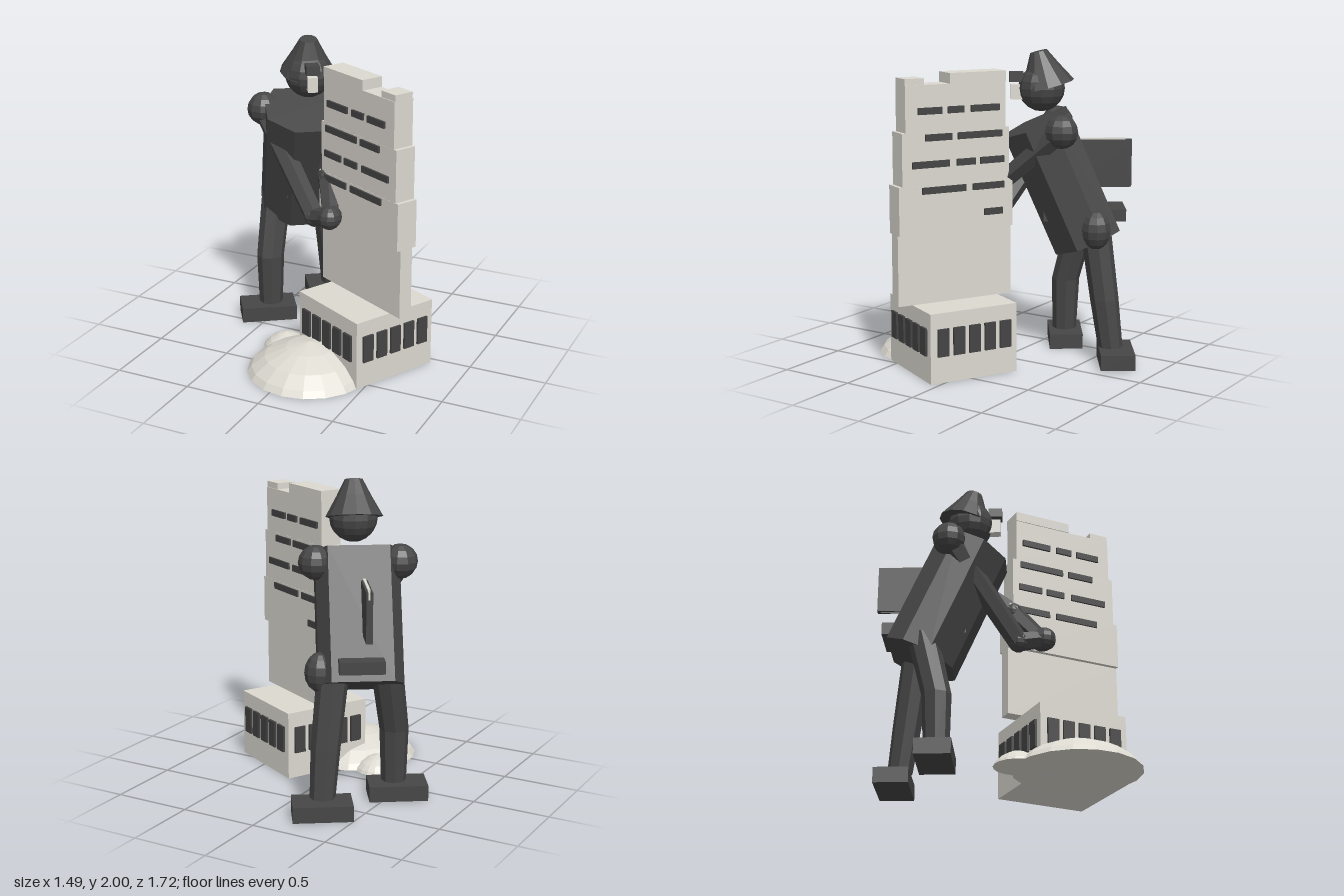
import * as THREE from 'three';

const mat = (name, color) => {
  const m = new THREE.MeshStandardMaterial({ color, flatShading: true });
  m.name = name;
  return m;
};

export function createModel() {
  const stone = mat('stone', 0xdcd9d1);
  const sand = mat('sand', 0xdcd9d0);
  const charcoal = mat('charcoal', 0x464646);
  const glass = mat('windowDark', 0x444444);
  const paper = mat('paper', 0xdedbd3);

  const model = new THREE.Group();
  const add = (parent, name, geometry, material, x = 0, y = 0, z = 0) => {
    const mesh = new THREE.Mesh(geometry, material);
    mesh.name = name;
    mesh.position.set(x, y, z);
    parent.add(mesh);
    return mesh;
  };
  const box = (parent, name, material, w, h, d, x, y, z) =>
    add(parent, name, new THREE.BoxGeometry(w, h, d), material, x, y, z);
  const points = (list) => list.map(([x, y]) => new THREE.Vector2(x, y));

  // ---- Tower on its square base ----
  const tower = new THREE.Group();
  tower.name = 'tower';
  tower.position.set(0.34, 0, 0.173);
  tower.rotation.y = THREE.MathUtils.degToRad(-28);
  model.add(tower);

  box(tower, 'towerBase', stone, 0.6, 0.445, 0.6, 0, 0.2225, 0);
  for (let side = 0; side < 4; side++) {
    const face = new THREE.Group();
    face.name = 'baseWindows';
    face.rotation.y = side * Math.PI / 2;
    tower.add(face);
    for (let i = -2; i <= 2; i++) {
      box(face, 'baseWindow', glass, 0.076, 0.175, 0.03, i * 0.108, 0.258, 0.3);
    }
  }

  // Stacked slabs: length, thickness, bottom, top
  [
    [0.79, 0.09, 0.445, 0.895],
    [0.79, 0.145, 0.895, 1.2],
    [0.74, 0.142, 1.2, 1.53],
    [0.69, 0.14, 1.53, 1.82],
  ].forEach(([w, d, y0, y1]) => box(tower, 'towerSlab', stone, w, y1 - y0, d, 0, (y0 + y1) / 2, 0));

  // Roof blocks
  box(tower, 'roofBlock', stone, 0.39, 0.065, 0.15, -0.15, 1.8525, 0);
  box(tower, 'roofBlock', stone, 0.13, 0.04, 0.13, 0.28, 1.84, 0);

  // Strip windows run right through the slab: height, then start and end pairs
  [
    [1.66, [-0.3, -0.1], [-0.05, 0.06], [0.1, 0.263]],
    [1.495, [-0.318, -0.007], [0.035, 0.215]],
    [1.33, [-0.33, -0.163], [-0.127, 0], [0.053, 0.305]],
    [1.167, [-0.33, -0.109], [-0.061, 0.239]],
    [1.0, [-0.32, -0.19]],
  ].forEach(([y, ...strips]) => strips.forEach(([a, b]) =>
    box(tower, 'stripWindow', glass, b - a, 0.042, 0.168, (a + b) / 2, y, 0)));

  // ---- Low, slightly peaked sand mounds ----
  const mound = (r, h, x, z) => {
    const profile = points([[0, 0], [1, 0], [0.93, 0.2], [0.72, 0.53], [0.38, 0.83], [0, 1]]
      .map(([px, py]) => [px * r, py * h]));
    add(model, 'sandMound', new THREE.LatheGeometry(profile, 18), sand, x, 0, z);
  };
  mound(0.4, 0.195, 0.085, 0.46);
  mound(0.15, 0.1, -0.2, 0.225);

  // ---- Figure, built facing its own +z and then turned to the tower ----
  const figure = new THREE.Group();
  figure.name = 'figure';
  figure.position.set(-0.41, 0, -0.405);
  figure.rotation.y = THREE.MathUtils.degToRad(34);
  model.add(figure);

  const ball = (name, r, x, y, z, sy = 1) => {
    const m = add(figure, name, new THREE.SphereGeometry(r, 10, 8), charcoal, x, y, z);
    m.scale.y = sy;
  };
  const limb = (name, a, b, ra, rb) => {
    const p = new THREE.Vector3(...a), q = new THREE.Vector3(...b);
    const dir = q.clone().sub(p);
    const m = add(figure, name, new THREE.CylinderGeometry(rb, ra, dir.length(), 6), charcoal);
    m.position.copy(p).add(q).multiplyScalar(0.5);
    m.quaternion.setFromUnitVectors(new THREE.Vector3(0, 1, 0), dir.normalize());
  };

  // Torso: prism with a wide back and narrow front, leaning forward
  const half = [[0.19, 0.22], [0.26, 0.1], [0.26, -0.08], [0.1, -0.22]];
  const outline = points([...half, ...half.map(([x, y]) => [-x, y]).reverse()]);
  const torsoGeometry = new THREE.ExtrudeGeometry(new THREE.Shape(outline),
    { depth: 0.83, bevelEnabled: false });
  torsoGeometry.rotateX(-Math.PI / 2);
  const torso = add(figure, 'torso', torsoGeometry, charcoal, 0, 0.77, 0.03);
  torso.rotation.x = 0.41;

  // Belt block showing at front and back, and hip pouch
  box(figure, 'belt', charcoal, 0.275, 0.078, 0.53, 0.01, 0.95, 0.05);
  ball('hipPouch', 0.095, 0.25, 0.875, -0.015, 1.32);

  // Bent legs: rings placed at hip, knee and ankle; the right one steps forward
  const leg = (name, joints, radii) => {
    const geometry = new THREE.CylinderGeometry(1, 1, 2, 8, 2);
    const pos = geometry.attributes.position;
    for (let i = 0; i < pos.count; i++) {
      const ring = Math.round(1 - pos.getY(i));
      const [x, y, z] = joints[ring];
      pos.setXYZ(i, x + pos.getX(i) * radii[ring], y, z + pos.getZ(i) * radii[ring]);
    }
    geometry.computeVertexNormals();
    add(figure, name, geometry, charcoal);
  };
  const legRadii = [0.1, 0.092, 0.08];
  leg('leftLeg', [[0.165, 0.92, -0.01], [0.22, 0.42, -0.075], [0.242, 0.11, -0.115]], legRadii);
  leg('rightLeg', [[-0.165, 0.87, 0.05], [-0.225, 0.45, 0.15], [-0.226, 0.11, 0.156]], legRadii);
  box(figure, 'leftFoot', charcoal, 0.37, 0.1, 0.22, 0.248, 0.05, -0.151);
  box(figure, 'rightFoot', charcoal, 0.37, 0.1, 0.22, -0.248, 0.05, 0.151);

  // Arms meeting in front of the tower
  const arms = [
    ['left', [0.26, 1.505, 0.21], [0.1, 1.15, 0.6], [0.09, 0.95, 0.785]],
    ['right', [-0.26, 1.505, 0.21], [0.009, 0.9, 0.64], [0.08, 0.95, 0.803]],
  ];
  for (const [side, shoulder, elbow, hand] of arms) {
    ball(side + 'Shoulder', 0.108, ...shoulder);
    limb(side + 'UpperArm', shoulder, elbow, 0.075, 0.066);
    ball(side + 'Elbow', 0.066, ...elbow);
    limb(side + 'Forearm', elbow, hand, 0.064, 0.055);
    ball(side + 'Hand', 0.076, ...hand);
  }

  // Head with visor and pale face block
  add(figure, 'head', new THREE.SphereGeometry(0.15, 12, 10), charcoal, 0.018, 1.758, 0.328);
  box(figure, 'visor', charcoal, 0.085, 0.06, 0.09, 0.02, 1.83, 0.49);
  box(figure, 'faceBlock', paper, 0.062, 0.095, 0.075, 0.02, 1.735, 0.487);

  // Conical hat tipped forward
  const hatProfile = points([[0, 0], [0.178, 0], [0.108, 0.125], [0.055, 0.228], [0, 0.23]]);
  const hat = add(figure, 'hat', new THREE.LatheGeometry(hatProfile, 12), charcoal, 0.016, 1.77, 0.292);
  hat.rotation.x = 0.25;

  // Upright layered pack set edge-on into the back
  for (const s of [-1, 1]) {
    box(figure, 'packCover', charcoal, 0.012, 0.31, 0.34, -0.025 + s * 0.014, 1.265, -0.09);
  }
  box(figure, 'packPages', paper, 0.016, 0.3, 0.3, -0.025, 1.28, -0.07);
  box(figure, 'packSpine', charcoal, 0.04, 0.26, 0.02, -0.025, 1.24, -0.25);

  return model;
}
